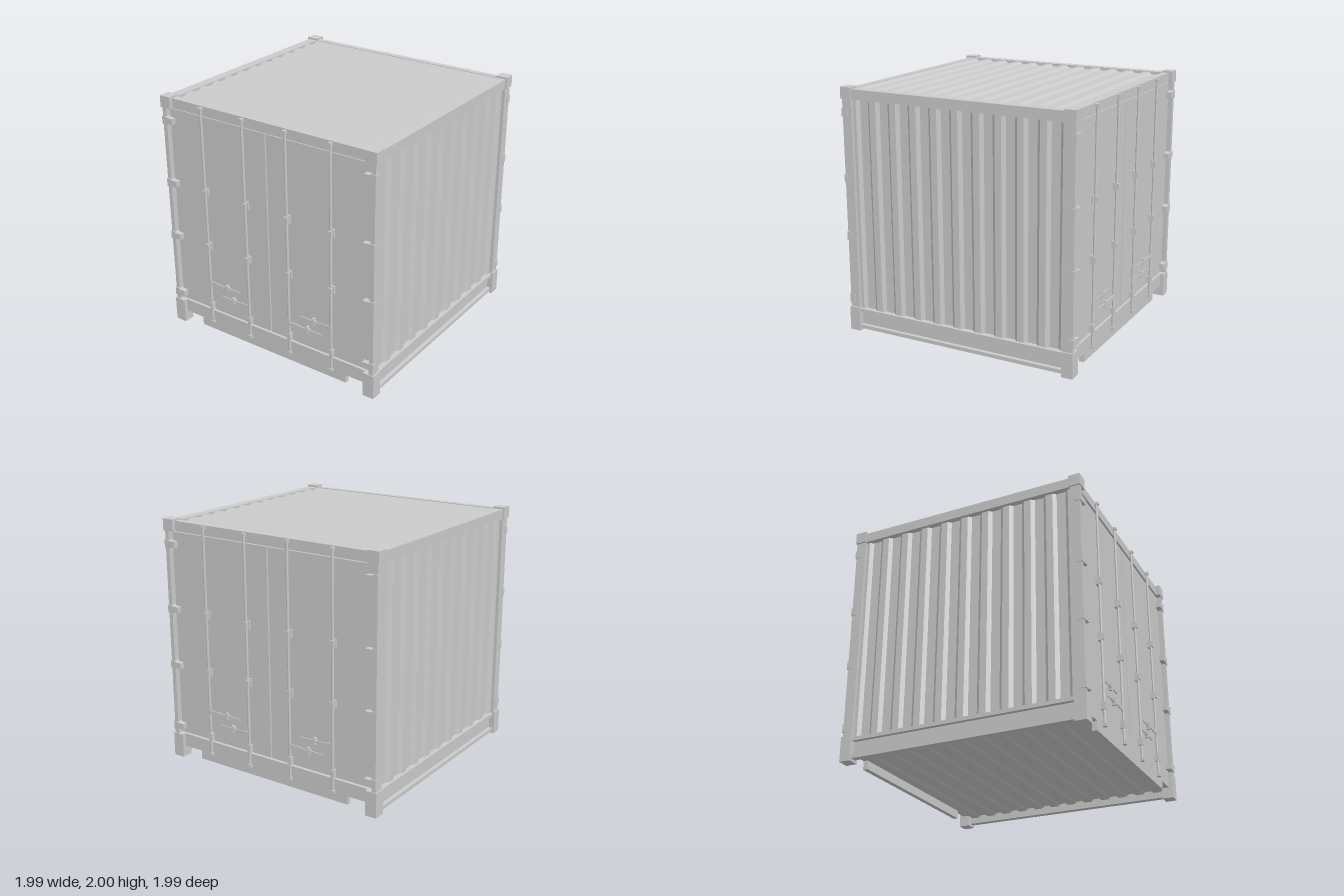
import * as THREE from 'three';

const grey = new THREE.MeshStandardMaterial({ color: 0xcccccc, flatShading: true });
const smooth = new THREE.MeshStandardMaterial({ color: 0xcccccc });

function add(parent, name, geometry, material = grey) {
  const mesh = new THREE.Mesh(geometry, material);
  mesh.name = name;
  parent.add(mesh);
  return mesh;
}

// Box given by its minimum and maximum on each axis
function box(parent, name, x0, x1, y0, y1, z0, z1) {
  const mesh = add(parent, name, new THREE.BoxGeometry(x1 - x0, y1 - y0, z1 - z0));
  mesh.position.set((x0 + x1) / 2, (y0 + y1) / 2, (z0 + z1) / 2);
  return mesh;
}

// Trapezoidal sheet: waves run along x, the sheet extends along z
function corrugated(width, waves, amplitude, length) {
  const pitch = width / waves, thickness = 0.012, top = [];
  for (let i = 0; i < waves; i++) {
    const x = -width / 2 + i * pitch;
    top.push([x, 0], [x + pitch * 0.15, 0], [x + pitch * 0.3, -amplitude],
      [x + pitch * 0.7, -amplitude], [x + pitch * 0.85, 0]);
  }
  top.push([width / 2, 0]);
  const bottom = top.map(([x, y]) => [x, y - thickness]).reverse();
  const shape = new THREE.Shape([...top, ...bottom].map(([x, y]) => new THREE.Vector2(x, y)));
  return new THREE.ExtrudeGeometry(shape, { depth: length, bevelEnabled: false })
    .translate(0, 0, -length / 2);
}

// Extrudes a (z, y) outline along x, from x0 to x1
function extrudeX(points, x0, x1) {
  const shape = new THREE.Shape(points.map(([z, y]) => new THREE.Vector2(-z, y)));
  return new THREE.ExtrudeGeometry(shape, { depth: x1 - x0, bevelEnabled: false })
    .rotateY(Math.PI / 2).translate(x0, 0, 0);
}

// Locking handle: a thin bowed bar starting at a rod and pointing along z
function handle(parent, zRod, direction, y, side) {
  const group = new THREE.Group();
  group.name = 'lockHandle';
  const z = (d) => side * (zRod + direction * d);
  const outline = [[0, -0.018], [0.08, -0.016], [0.1, -0.01], [0.3, -0.005],
    [0.3, 0.005], [0.1, 0.01], [0.08, 0.016], [0, 0.018]];
  const geometry = extrudeX(outline.map(([d, dy]) => [z(d), y + dy]), 0.978, 0.986);
  // Bow the bar in towards the door
  const p = geometry.attributes.position;
  for (let i = 0; i < p.count; i++) {
    const d = Math.abs(p.getZ(i) - z(0));
    p.setX(i, p.getX(i) - 0.045 * Math.min(d, 0.25));
  }
  geometry.computeVertexNormals();
  add(group, 'handleBar', geometry);
  const c = z(0.17);
  box(group, 'handleCatch', 0.95, 0.984, y - 0.028, y + 0.028, c - 0.008, c + 0.008);
  box(group, 'handlePlate', 0.95, 0.975, y - 0.012, y + 0.012, c - 0.018, c + 0.018);
  parent.add(group);
}

// One end with a pair of doors, built facing +x
function createDoorEnd() {
  const end = new THREE.Group();
  end.name = 'doorEnd';

  // Header and notched sill
  box(end, 'header', 0.91, 0.965, 1.905, 1.985, -0.9, 0.9);
  add(end, 'sill', extrudeX([[-0.9, 0.09], [-0.725, 0.09], [-0.725, 0.02], [0.725, 0.02],
    [0.725, 0.09], [0.9, 0.09], [0.9, 0.2], [-0.9, 0.2]], 0.925, 0.965));
  box(end, 'doorSeal', 0.91, 0.935, 0.2, 1.905, -0.96, 0.96);

  for (const s of [-1, 1]) {
    // Door leaf and corner post
    const leaf = box(end, 'door', 0.92, 0.955, 0.21, 1.895, 0.006, 0.94);
    leaf.position.z *= s;
    box(end, 'cornerPost', 0.91, 0.99, 0.19, 1.91, s > 0 ? 0.95 : -0.985, s > 0 ? 0.985 : -0.95);

    // Corner castings
    const z0 = s > 0 ? 0.9 : -0.997, z1 = s > 0 ? 0.997 : -0.9;
    box(end, 'topCasting', 0.905, 0.997, 1.905, 2, z0, z1);
    box(end, 'bottomCasting', 0.905, 0.997, 0, 0.2, z0, z1);

    // Hinges, tapered towards the door
    for (const y of [0.27, 0.8, 1.27, 1.8]) {
      const outline = [[0.89, -0.024], [0.945, -0.026], [0.95, -0.033], [0.99, -0.033],
        [0.99, 0.033], [0.95, 0.033], [0.945, 0.026], [0.89, 0.024]];
      add(end, 'hinge', extrudeX(outline.map(([z, dy]) => [s * z, y + dy]), 0.945, 0.997));
    }

    // Locking rods with guides, end sleeves and cams
    for (const z of [0.2, 0.6]) {
      const rod = add(end, 'lockRod', new THREE.CylinderGeometry(0.011, 0.011, 1.88, 12), smooth);
      rod.position.set(0.978, 1.035, s * z);
      for (const y of [0.8, 1.27]) {
        box(end, 'rodGuidePlate', 0.95, 0.972, y - 0.033, y + 0.033, s * z - 0.022, s * z + 0.022);
        box(end, 'rodGuide', 0.96, 0.997, y - 0.025, y + 0.025, s * z - 0.015, s * z + 0.015);
      }
      box(end, 'rodSleeve', 0.95, 0.992, 0.22, 0.28, s * z - 0.014, s * z + 0.014);
      for (const y of [0.1, 1.965]) {
        box(end, 'rodCam', 0.96, 0.994, y - 0.012, y + 0.012, s * z - 0.014, s * z + 0.014);
      }
    }
    handle(end, 0.6, -1, 0.465, s);
    handle(end, 0.2, 1, 0.37, s);
  }
  return end;
}

// One long side, built facing +z
function createSide() {
  const side = new THREE.Group();
  side.name = 'side';
  box(side, 'topRail', -0.91, 0.91, 1.905, 1.985, 0.905, 0.985);

  // Channel-shaped bottom rail
  box(side, 'bottomRailWeb', -0.91, 0.91, 0.03, 0.18, 0.93, 0.95);
  box(side, 'bottomRailTop', -0.91, 0.91, 0.16, 0.19, 0.93, 0.982);
  box(side, 'bottomRailFoot', -0.91, 0.91, 0.02, 0.05, 0.93, 0.982);

  // Corrugated wall between narrow flat strips
  const wall = corrugated(1.82, 10, 0.022, 1.74).rotateX(Math.PI / 2);
  add(side, 'wall', wall.translate(0, 1.05, 0.96));
  for (const s of [-1, 1]) {
    box(side, 'postReturn', s * 0.92 - 0.012, s * 0.92 + 0.012, 0.19, 1.91, 0.93, 0.983);
  }
  return side;
}

export function createModel() {
  const model = new THREE.Group();
  model.name = 'shippingContainer';

  for (const angle of [0, Math.PI]) {
    const end = createDoorEnd();
    const side = createSide();
    end.rotation.y = side.rotation.y = angle;
    model.add(end, side);
  }

  // Corrugated roof and floor
  add(model, 'roof', corrugated(1.84, 12, 0.018, 1.84)).position.y = 1.98;
  add(model, 'floor', corrugated(1.86, 12, 0.018, 1.88)).position.y = 0.1;
  return model;
}
